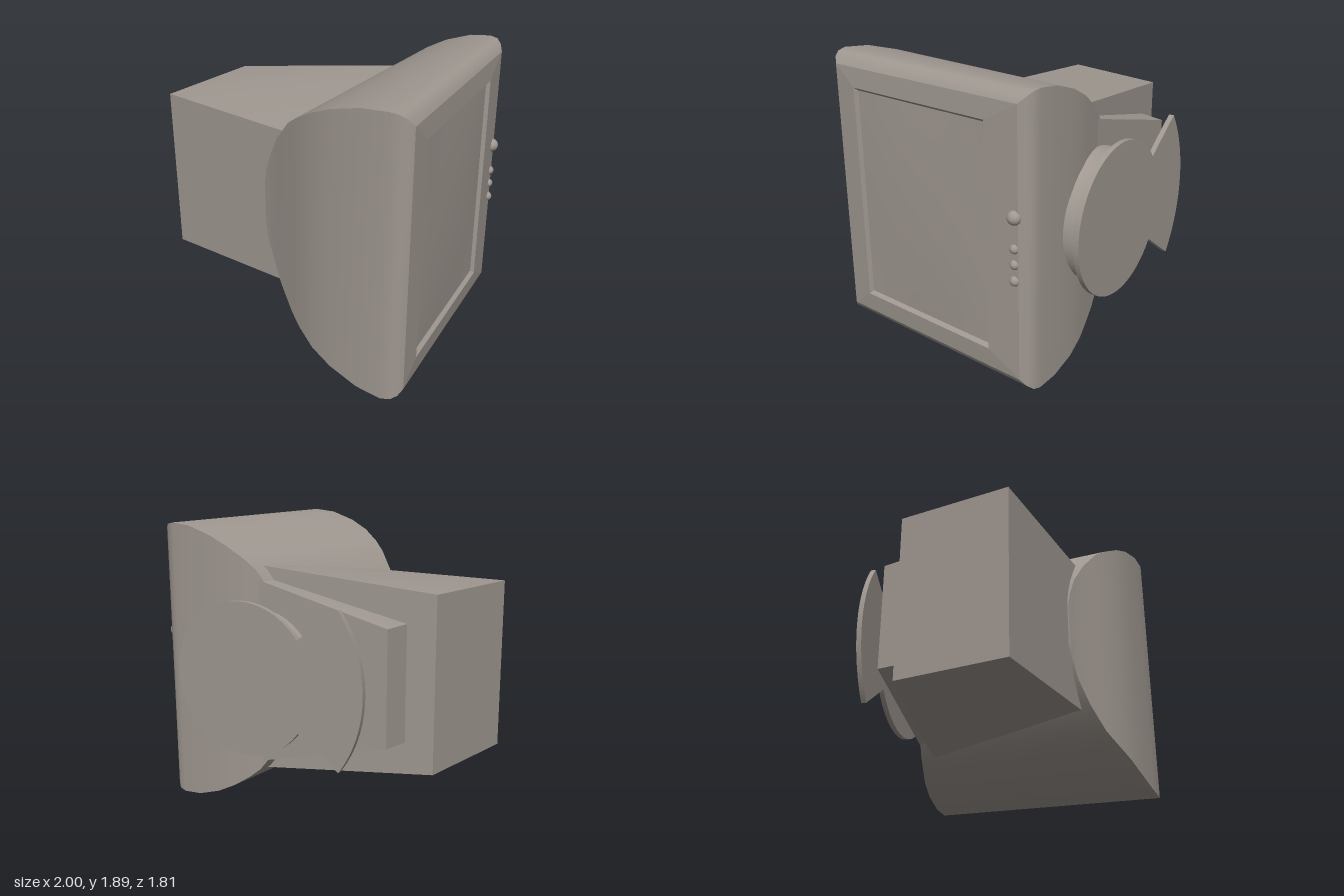
import * as THREE from 'three';

const CY = 0.943; // height of the symmetry plane

export function createModel() {
  const model = new THREE.Group();
  const plastic = new THREE.MeshStandardMaterial({ color: 0x9f9790 });
  plastic.name = 'warm grey plastic';

  function add(name, geometry, parent = model) {
    const mesh = new THREE.Mesh(geometry, plastic);
    mesh.name = name;
    parent.add(mesh);
    return mesh;
  }

  // Skins a row of four-cornered rings; each side is smooth, its corners sharp
  function loft(rings, capBack = false) {
    const pos = [], idx = [];
    for (let s = 0; s < 4; s++) {
      const base = pos.length / 3;
      for (const ring of rings) pos.push(...ring[s], ...ring[(s + 1) % 4]);
      for (let i = 0; i < rings.length - 1; i++) {
        const a = base + i * 2;
        idx.push(a, a + 1, a + 2, a + 1, a + 3, a + 2);
      }
    }
    if (capBack) {
      const b = pos.length / 3;
      for (const p of rings[0]) pos.push(...p);
      idx.push(b, b + 2, b + 1, b, b + 3, b + 2);
    }
    const g = new THREE.BufferGeometry();
    g.setAttribute('position', new THREE.Float32BufferAttribute(pos, 3));
    g.setIndex(idx);
    g.computeVertexNormals();
    return g;
  }

  // Ring from [x, z, half height] at its low-z and high-z edges
  const ring = ([xl, zl, hl], [xh, zh, hh]) => [
    [xl, CY - hl, zl], [xl, CY + hl, zl], [xh, CY + hh, zh], [xh, CY - hh, zh],
  ];

  // The back of the shell leans one way, the screen face slightly the other
  function lean(x, z) {
    const t = THREE.MathUtils.clamp((x + 0.16) / 1.14, 0, 1);
    return x + (1 - t) * 0.11 * (0.57 - z) - t * 0.022 * (0.85 - z);
  }
  const shellRing = ([x, half, zh, zl]) => ring([lean(x, zl), zl, half], [lean(x, zh), zh, half]);

  // Shell: [x, half height, high z, low z]
  const faceEdge = [0.995, 0.865, 0.84, -0.68];
  const shell = [
    [-0.16, 0.16, 0.55, -0.6], [-0.14, 0.25, 0.56, -0.605], [-0.09, 0.37, 0.58, -0.615],
    [0, 0.52, 0.63, -0.64], [0.13, 0.67, 0.7, -0.67], [0.22, 0.735, 0.75, -0.69],
    [0.35, 0.81, 0.81, -0.72], [0.5, 0.875, 0.85, -0.74], [0.7, 0.93, 0.885, -0.75],
    [0.87, 0.944, 0.9, -0.752], [0.93, 0.933, 0.89, -0.745], [0.97, 0.905, 0.87, -0.72], faceEdge,
  ];
  add('shell', loft(shell.map(shellRing), true));

  // Bezel and recessed screen
  const lip = [1.005, 0.735, 0.67, -0.44], recess = [0.98, 0.715, 0.655, -0.425];
  add('bezel', loft([faceEdge, lip].map(shellRing)));
  add('screenRecess', loft([lip, recess].map(shellRing)));
  const [rx, rh, rzh, rzl] = recess;
  const screen = new THREE.PlaneGeometry(rzh - rzl, rh * 2, 12, 12).rotateY(Math.PI / 2);
  const p = screen.attributes.position;
  for (let i = 0; i < p.count; i++) {
    const u = p.getZ(i) / ((rzh - rzl) / 2), v = p.getY(i) / rh;
    const z = p.getZ(i) + (rzh + rzl) / 2;
    p.setXYZ(i, lean(rx, z) + 0.015 * (1 - u * u) * (1 - v * v), p.getY(i) + CY, z);
  }
  screen.computeVertexNormals();
  add('screen', screen);

  // Tapered tube housing and the smaller block under it
  add('rearHousing', loft([
    ring([-0.9, -0.35, 0.57], [-1, 0.415, 0.57]),
    ring([0.37, -0.605, 0.7], [0.1, 0.58, 0.545]),
  ], true));
  add('lowerHousing', loft([
    ring([-0.69, -0.57, 0.375], [-0.72, -0.39, 0.38]),
    ring([0.3, -0.675, 0.63], [0.3, -0.4, 0.63]),
  ], true));

  // Buttons: [y, radius]
  for (const [y, r] of [[1.14, 0.046], [0.945, 0.031], [0.845, 0.031], [0.74, 0.033]]) {
    const z = -0.65;
    add('button', new THREE.SphereGeometry(r, 20, 14)).position.set(lean(0.99, z), y, z);
  }

  // Tilted stand: round plate with a wider fan-shaped tail, and a dome
  const stand = new THREE.Group();
  stand.name = 'stand';
  stand.position.set(0.2, CY - 0.003, -0.857);
  stand.rotation.y = 0.103;
  model.add(stand);
  const fan = 0.63;
  const outline = new THREE.Shape();
  outline.absarc(0, 0, 0.5, -(Math.PI - fan), Math.PI - fan, false);
  outline.absarc(0, 0, 0.85, Math.PI - fan, Math.PI + fan, false);
  outline.closePath();
  add('standPlate', new THREE.ExtrudeGeometry(outline, { depth: 0.035, bevelEnabled: false, curveSegments: 40 }), stand);
  const dome = [[0.24, 0.02], [0.3, 0.04], [0.36, 0.07], [0.4, 0.11], [0.425, 0.16], [0.435, 0.21], [0.435, 0.25]];
  add('standDome', new THREE.LatheGeometry(dome.map(([r, h]) => new THREE.Vector2(r, h)), 48)
    .rotateX(Math.PI / 2), stand);

  return model;
}
